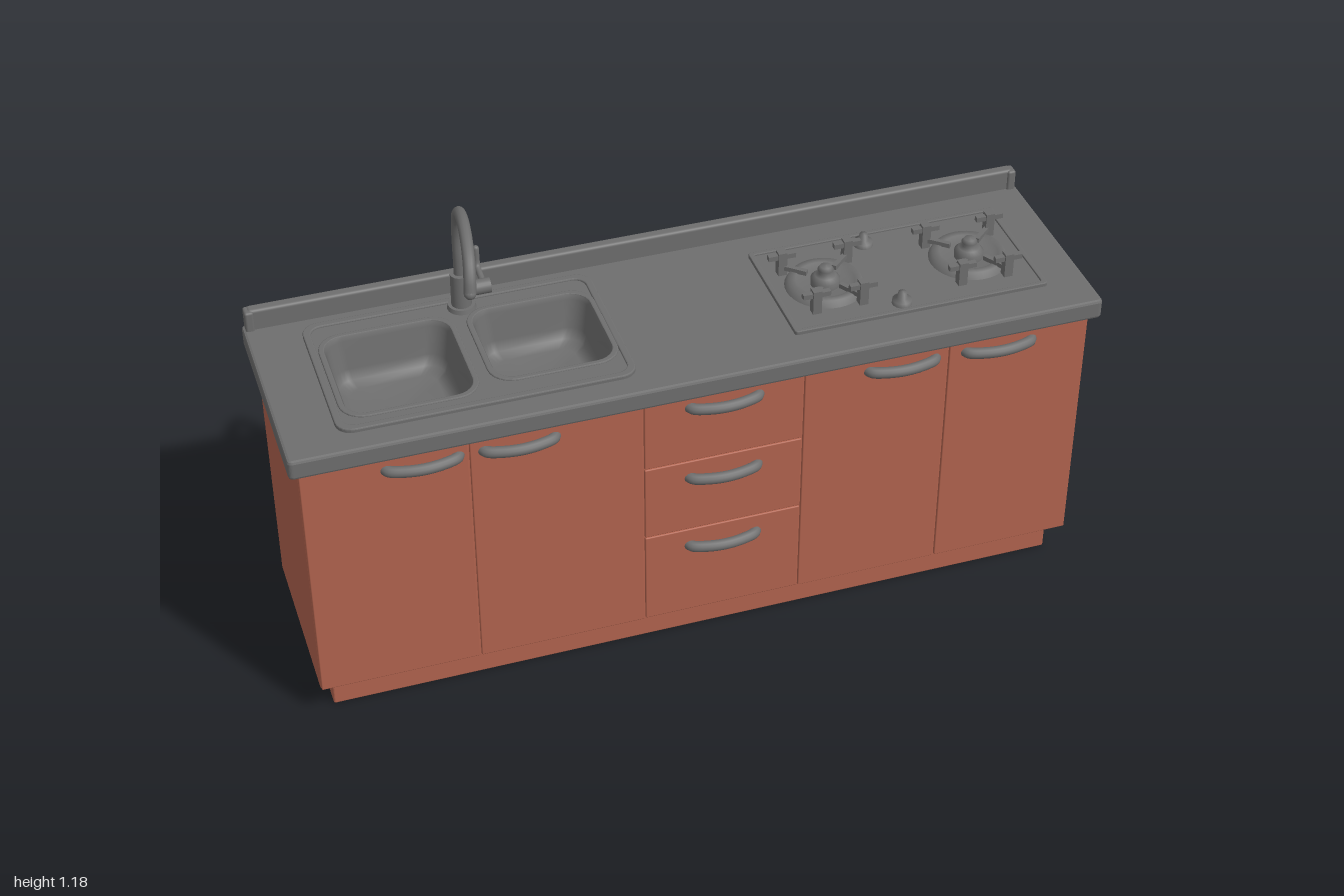
import * as THREE from 'three';
import { RoundedBoxGeometry } from 'three/addons/geometries/RoundedBoxGeometry.js';

const brick = new THREE.MeshStandardMaterial({ color: 0xb1634e });
brick.name = 'brick red cabinet';
const grey = new THREE.MeshStandardMaterial({ color: 0x6e6e6e });
grey.name = 'dark grey worktop and metal';

// Rounded rectangle [x0, x1, z0, z1] as a fixed number of points, with y = -z
const STEPS = 6;
function outline([x0, x1, z0, z1], r) {
  const centres = [[x1 - r, -z1 + r], [x1 - r, -z0 - r], [x0 + r, -z0 - r], [x0 + r, -z1 + r]];
  const pts = [];
  centres.forEach(([cx, cy], c) => {
    for (let i = 0; i <= STEPS; i++) {
      const a = (c - 1 + i / STEPS) * Math.PI / 2;
      pts.push(new THREE.Vector2(cx + r * Math.cos(a), cy + r * Math.sin(a)));
    }
  });
  return pts;
}

// Horizontal slab from y0 to y1 with optional holes and a bevelled edge
function slab(rect, r, y0, y1, holes = [], holeR = 0.03, bevel = 0) {
  const shape = new THREE.Shape(outline(rect, r));
  holes.forEach(h => shape.holes.push(new THREE.Path(outline(h, holeR))));
  const g = new THREE.ExtrudeGeometry(shape, {
    depth: y1 - y0 - 2 * bevel, bevelEnabled: bevel > 0,
    bevelSize: bevel, bevelThickness: bevel, bevelOffset: -bevel, bevelSegments: 2,
  });
  return g.rotateX(-Math.PI / 2).translate(0, y0 + bevel, 0);
}

const inset = ([a, b, c, d], k) => [a + k, b - k, c + k, d - k];

// Basin lofted through shrinking rounded rectangles and closed at the floor
function basin(rect) {
  const levels = [[0, 0.826], [0.004, 0.815], [0.014, 0.74], [0.022, 0.712], [0.045, 0.7]];
  const n = 4 * (STEPS + 1), base = (levels.length - 1) * n;
  const pos = [], idx = [];
  levels.forEach(([k, y]) =>
    outline(inset(rect, k), 0.05 - k * 0.3).forEach(p => pos.push(p.x, y, -p.y)));
  pos.push((rect[0] + rect[1]) / 2, 0.698, (rect[2] + rect[3]) / 2);
  for (let i = 0; i < n; i++) {
    const j = (i + 1) % n;
    for (let l = 0; l < base; l += n) idx.push(l + i, l + j, l + j + n, l + i, l + j + n, l + i + n);
    idx.push(base + i, base + j, base + n);
  }
  const g = new THREE.BufferGeometry();
  g.setAttribute('position', new THREE.Float32BufferAttribute(pos, 3));
  g.setIndex(idx);
  g.computeVertexNormals();
  return g;
}

const tube = (pts, r, seg = 40) => new THREE.TubeGeometry(
  new THREE.CatmullRomCurve3(pts.map(p => new THREE.Vector3(...p))), seg, r, 12);

const lathe = (pts, seg) => new THREE.LatheGeometry(pts.map(p => new THREE.Vector2(...p)), seg);

export function createModel() {
  const model = new THREE.Group();
  model.name = 'kitchenUnit';
  function add(name, geo, mat, x = 0, y = 0, z = 0, parent = model) {
    const m = new THREE.Mesh(geo, mat);
    m.name = name;
    m.position.set(x, y, z);
    parent.add(m);
    return m;
  }
  const panel = (name, x0, x1, y0, y1, z0, z1) => add(name,
    new RoundedBoxGeometry(x1 - x0, y1 - y0, z1 - z0, 2, 0.003), brick,
    (x0 + x1) / 2, (y0 + y1) / 2, (z0 + z1) / 2);

  // Plinth: open frame with a cross rail
  const foot = [-0.945, 0.942, -0.215, 0.205];
  add('plinth', slab(foot, 0.005, 0, 0.095, [inset(foot, 0.016)], 0.01, 0.003), brick);
  add('plinthRail', new THREE.BoxGeometry(0.016, 0.085, 0.4), brick, -0.16, 0.0525, -0.005);

  // Carcass: hollow walls and a floor
  const body = [-0.978, 0.975, -0.231, 0.24];
  add('carcassWalls', slab(body, 0.006, 0.094, 0.775, [inset(body, 0.018)], 0.01, 0.004), brick);
  add('carcassFloor', slab(body, 0.006, 0.092, 0.11), brick);

  // Doors, drawers and back panels separated by narrow seams
  const g = 0.0015;
  [[-0.978, -0.58], [-0.58, -0.16], [0.24, 0.61], [0.61, 0.975]].forEach(([a, b]) =>
    panel('door', a + g, b - g, 0.092, 0.769, 0.232, 0.247));
  [[0.092, 0.355], [0.355, 0.568], [0.568, 0.769]].forEach(([a, b]) =>
    panel('drawerFront', -0.16 + g, 0.24 - g, a + g, b - g, 0.232, 0.247));
  [[-0.978, -0.16], [-0.16, 0.24], [0.24, 0.61], [0.61, 0.975]].forEach(([a, b]) =>
    panel('backPanel', a + g, b - g, 0.092, 0.769, -0.235, -0.225));

  // Bowed handles
  const handle = tube([[-0.088, 0, 0.238], [-0.08, 0, 0.252], [-0.045, 0, 0.264], [0, 0, 0.269],
    [0.045, 0, 0.264], [0.08, 0, 0.252], [0.088, 0, 0.238]], 0.014);
  [[-0.69, 0.727], [-0.46, 0.727], [0.04, 0.73], [0.49, 0.73], [0.74, 0.73], [0.04, 0.517], [0.04, 0.303]]
    .forEach(([x, y]) => add('handle', handle, grey, x, y, 0));

  // Worktop with sink cutouts, and the upstand behind it
  const bowls = [[-0.835, -0.53, -0.15, 0.15], [-0.475, -0.185, -0.15, 0.125]];
  add('worktop', slab([-1, 1, -0.282, 0.267], 0.012, 0.768, 0.82,
    bowls.map(b => inset(b, -0.004)), 0.05, 0.007), grey);
  add('upstand', new RoundedBoxGeometry(1.97, 0.07, 0.029, 3, 0.008), grey, 0, 0.84, -0.267);
  [-1, 1].forEach(s => add('upstandEnd', new RoundedBoxGeometry(0.022, 0.07, 0.034, 2, 0.006),
    grey, s * 0.982, 0.838, -0.264));

  // Double sink: plate, raised border and basins
  const sink = [-0.87, -0.155, -0.222, 0.205];
  add('sinkPlate', slab(sink, 0.04, 0.817, 0.825, bowls, 0.05, 0.002), grey);
  add('sinkBorder', slab(sink, 0.04, 0.82, 0.83, [inset(sink, 0.018)], 0.03, 0.003), grey);
  bowls.forEach(b => {
    add('basinLip', slab(inset(b, -0.014), 0.06, 0.82, 0.829, [b], 0.05, 0.003), grey);
    add('basin', basin(b), grey);
  });

  // Swan-neck tap with side valve and lever
  const tap = new THREE.Group();
  tap.name = 'tap';
  model.add(tap);
  add('tapBase', new THREE.CylinderGeometry(0.033, 0.036, 0.012, 24), grey, -0.482, 0.83, -0.183, tap);
  add('tapBody', new THREE.CylinderGeometry(0.024, 0.025, 0.1, 24), grey, -0.482, 0.874, -0.183, tap);
  add('tapSpout', tube([[-0.482, 0.9, -0.184], [-0.482, 0.97, -0.184], [-0.482, 1.04, -0.184],
    [-0.484, 1.095, -0.167], [-0.489, 1.14, -0.12], [-0.497, 1.161, -0.05], [-0.505, 1.156, 0.01],
    [-0.514, 1.13, 0.065], [-0.52, 1.1, 0.09], [-0.524, 1.066, 0.102]], 0.0145, 64), grey, 0, 0, 0, tap);
  add('tapSpoutEnd', new THREE.SphereGeometry(0.0145, 12, 8), grey, -0.524, 1.068, 0.102, tap);
  add('tapValve', new THREE.CylinderGeometry(0.019, 0.019, 0.07, 20).rotateZ(Math.PI / 2), grey,
    -0.445, 0.874, -0.183, tap);
  add('tapLever', tube([[-0.422, 0.87, -0.185], [-0.422, 0.874, -0.225], [-0.422, 0.884, -0.255],
    [-0.422, 0.93, -0.262]], 0.008, 24), grey, 0, 0, 0, tap);
  add('tapLeverEnd', new THREE.SphereGeometry(0.008, 12, 8), grey, -0.422, 0.93, -0.262, tap);

  // Hob plate with a raised border
  const hob = [0.243, 0.896, -0.175, 0.17];
  add('hobPlate', slab(hob, 0.008, 0.817, 0.825, [], 0, 0.002), grey);
  add('hobBorder', slab(hob, 0.008, 0.82, 0.83, [inset(hob, 0.012)], 0.006, 0.002), grey);

  // Burners: dished ring, core, cap and pan supports
  const ring = lathe([[0.1, 0.824], [0.09, 0.841], [0.072, 0.841], [0.06, 0.829], [0, 0.829]], 36);
  const cap = lathe([[0.036, 0.825], [0.036, 0.846], [0.026, 0.856], [0.015, 0.86],
    [0.02, 0.872], [0.014, 0.881], [0, 0.883]], 24);
  [0.38, 0.757].forEach(x => {
    const burner = new THREE.Group();
    burner.name = 'burner';
    burner.position.x = x;
    model.add(burner);
    add('burnerRing', ring, grey, 0, 0, 0.003, burner);
    add('burnerCap', cap, grey, 0, 0, 0.003, burner);
    [[-0.085, -0.075], [0.085, -0.075], [-0.06, 0.1], [0.06, 0.1]].forEach(([px, z]) => {
      add('supportPost', new THREE.BoxGeometry(0.022, 0.066, 0.022), grey, px, 0.856, z, burner);
      add('supportFinger', new THREE.BoxGeometry(0.07, 0.013, 0.014), grey, px, 0.876, z, burner);
      // Low arm reaching towards the burner core
      const arm = add('supportArm', new THREE.BoxGeometry(0.07, 0.012, 0.012), grey,
        px * 0.72, 0.845, z * 0.72, burner);
      arm.rotation.y = -Math.atan2(z, px);
    });
  });

  // Control knobs
  const knob = lathe([[0.025, 0.823], [0.024, 0.836], [0.013, 0.84], [0.01, 0.857], [0, 0.859]], 20);
  [-0.128, 0.13].forEach(z => add('hobKnob', knob, grey, 0.53, 0, z));
  return model;
}
